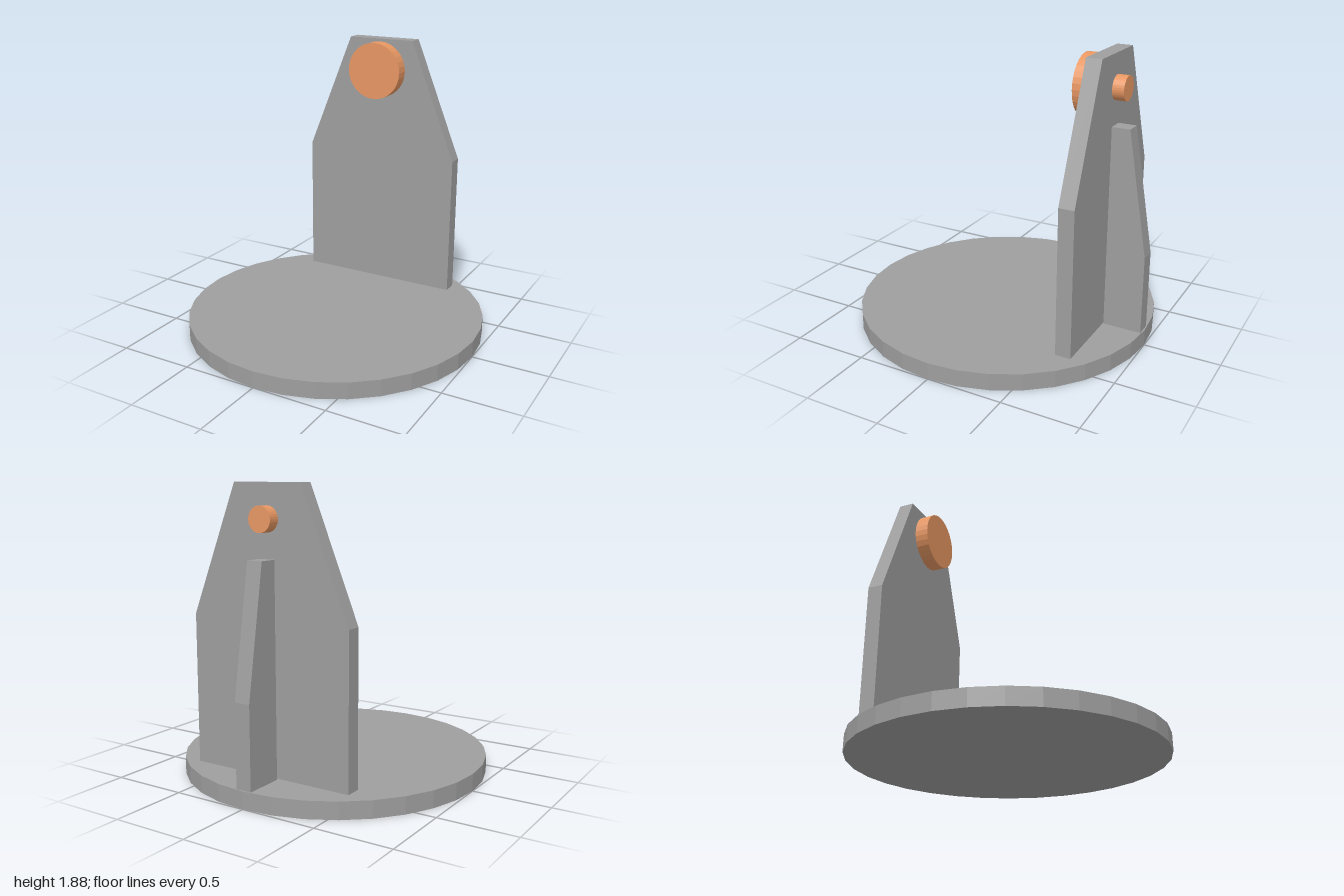
import * as THREE from 'three';

const grey = new THREE.MeshStandardMaterial({ color: 0x9e9e9e, flatShading: true });
const copper = new THREE.MeshStandardMaterial({ color: 0xe79763, flatShading: true });

// Flat panel cut from an outline, extruded along +z from z = 0
function panel(points, depth) {
  const shape = new THREE.Shape(points.map(([x, y]) => new THREE.Vector2(x, y)));
  return new THREE.ExtrudeGeometry(shape, { depth, bevelEnabled: false });
}

// Disc whose axis runs along z, between two z positions
function disc(radius, zBack, zFront, x, y) {
  return new THREE.CylinderGeometry(radius, radius, zFront - zBack, 32)
    .rotateX(Math.PI / 2)
    .translate(x, y, (zBack + zFront) / 2);
}

export function createModel() {
  const model = new THREE.Group();
  model.name = 'standWithPin';
  const add = (name, geometry, material) => {
    const mesh = new THREE.Mesh(geometry, material);
    mesh.name = name;
    model.add(mesh);
  };

  // Round base
  add('base', new THREE.CylinderGeometry(1, 1, 0.11, 32).translate(0, 0.055, 0), grey);

  // Upright plate with tapered shoulders, just clear of the base
  const plate = panel([
    [-0.56, 0.118], [0.559, 0.118], [0.559, 1.073],
    [0.235, 1.877], [-0.237, 1.877], [-0.56, 1.073],
  ], 0.102);
  add('backPlate', plate.translate(0, 0, -0.735), grey);

  // Support rib: side profile in (depth behind, height), turned so depth runs to -z
  const rib = panel([
    [0.735, 0.11], [0.988, 0.11], [0.988, 0.63], [0.853, 1.435], [0.735, 1.435],
  ], 0.105);
  add('supportRib', rib.rotateY(Math.PI / 2).translate(-0.053, 0, 0), grey);

  // Pin: wide head in front of the plate, narrow end behind it
  add('pinHead', disc(0.193, -0.622, -0.53, -0.003, 1.667), copper);
  add('pinEnd', disc(0.078, -0.81, -0.733, -0.004, 1.667), copper);

  return model;
}
